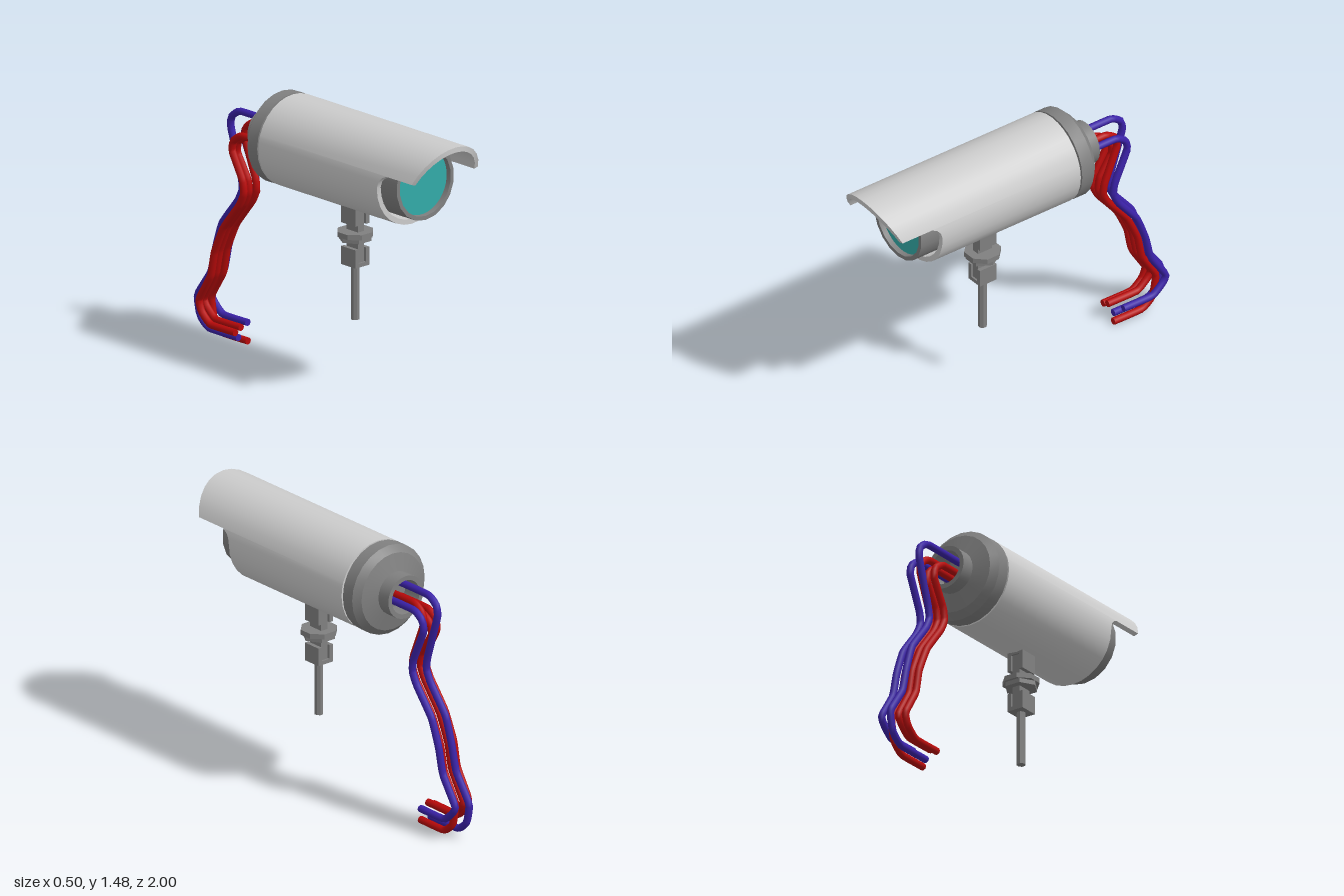
import * as THREE from 'three';
import { toCreasedNormals } from 'three/addons/utils/BufferGeometryUtils.js';

const mat = (color, flatShading = false) => new THREE.MeshStandardMaterial({ color, flatShading });
const LIGHT = mat(0xcccccc);
const DARK = mat(0x808080);
const DARK_FLAT = mat(0x808080, true);
const TEAL = mat(0x33aaa8);
const RED = mat(0xb80a0a);
const BLUE = mat(0x3b22a8);
const AXIS_Y = 1.23;

function add(parent, name, geometry, material, x = 0, y = 0, z = 0) {
  const mesh = new THREE.Mesh(geometry, material);
  mesh.name = name;
  mesh.position.set(x, y, z);
  parent.add(mesh);
  return mesh;
}

// Turned part along z from [radius, z] points
function turned(points, segments) {
  const geo = new THREE.LatheGeometry(points.map(p => new THREE.Vector2(...p)), segments);
  return toCreasedNormals(geo.rotateX(Math.PI / 2), 0.5);
}

// Hollow tube whose front edge steps back below the hood
function shellGeometry() {
  const R = 0.25, r = 0.222, back = -0.25, lip = 1.266;
  const half = [];
  for (let i = 0; i <= 6; i++) {
    const a = lip * i / 6;
    half.push([a, 0.915 + (R * Math.cos(a) - 0.075) / 0.175 * 0.085]);
  }
  half.push([lip, 0.72], [1.33, 0.69], [1.42, 0.67], [Math.PI / 2, 0.66]);
  for (let i = 1; i <= 7; i++) half.push([Math.PI / 2 * (1 + i / 7), 0.66]);
  const columns = half.concat(half.slice(1, -1).reverse().map(([a, z]) => [-a, z]));

  const pos = [], index = [], n = columns.length;
  columns.forEach(([a, front], c) => {
    const s = Math.sin(a), k = Math.cos(a);
    for (const [rad, z] of [[R, front], [R, back], [r, back], [r, front]]) pos.push(rad * s, rad * k, z);
    for (let j = 0; j < 4; j++) {
      const a0 = c * 4 + j, a1 = c * 4 + (j + 1) % 4;
      const b0 = ((c + 1) % n) * 4 + j, b1 = ((c + 1) % n) * 4 + (j + 1) % 4;
      index.push(a0, b0, a1, b0, b1, a1);
    }
  });
  const geo = new THREE.BufferGeometry();
  geo.setAttribute('position', new THREE.Float32BufferAttribute(pos, 3));
  geo.setIndex(index);
  return toCreasedNormals(geo, 0.6);
}

// Cable: leaves the neck at exitY, sags down and turns forward at endY
function cableGeometry(x, exitY, endY, d, endZ) {
  const path = [
    [-0.36, exitY], [-0.58 - d, exitY], [-0.645 - d, exitY - 0.04], [-0.655 - d, exitY - 0.1],
    [-0.575 - d, 0.94], [-0.565 - d, 0.87], [-0.6 - d, 0.8], [-0.72 - d, 0.65],
    [-0.79 - d * 0.7, 0.5], [-0.82 - d * 0.8, 0.36], [-0.91 - d, 0.21],
    [-0.89 - d, endY + 0.055], [-0.82 - d, endY], [endZ, endY],
  ].map(([z, y]) => new THREE.Vector3(x, y, z));
  const curve = new THREE.CatmullRomCurve3(path, false, 'catmullrom', 0.2);
  return new THREE.TubeGeometry(curve, 70, 0.02, 8);
}

export function createModel() {
  const model = new THREE.Group();
  model.name = 'securityCamera';

  // Housing
  const body = new THREE.Group();
  body.name = 'housing';
  body.position.y = AXIS_Y;
  model.add(body);
  add(body, 'hoodedShell', shellGeometry(), LIGHT);
  add(body, 'barrel', turned([[0, -0.245], [0.23, -0.245], [0.23, -0.22], [0.205, -0.22],
    [0.205, 0.765], [0.183, 0.765], [0.183, 0.72], [0, 0.72]], 18), DARK);
  add(body, 'lens', new THREE.CircleGeometry(0.183, 18), TEAL, 0, 0, 0.735);
  add(body, 'rearCap', turned([[0, -0.36], [0.095, -0.36], [0.095, -0.475], [0.12, -0.475],
    [0.12, -0.395], [0.215, -0.37], [0.25, -0.335], [0.25, -0.26], [0, -0.26]], 24), DARK);

  // Mounting bracket: two forks, tongues, collar and rod
  const mount = new THREE.Group();
  mount.name = 'mount';
  mount.position.set(0.01, 0, 0.215);
  model.add(mount);
  const box = (name, w, h, d, x, y) => add(mount, name, new THREE.BoxGeometry(w, h, d), DARK_FLAT, x, y, 0);
  for (const s of [-1, 1]) {
    box('upperForkProng', 0.023, 0.11, 0.11, s * 0.038, 0.935);
    box('lowerForkProng', 0.023, 0.1, 0.11, s * 0.038, 0.7);
  }
  box('upperForkBase', 0.099, 0.025, 0.11, 0, 0.982);
  box('lowerForkBase', 0.099, 0.022, 0.11, 0, 0.661);
  box('upperTongue', 0.044, 0.14, 0.09, 0, 0.9);
  box('lowerTongue', 0.044, 0.13, 0.09, 0, 0.735);
  const disc = (name, radius, h, y, sides) =>
    add(mount, name, new THREE.CylinderGeometry(radius, radius, h, sides).rotateY(Math.PI / sides), DARK_FLAT, 0, y, 0);
  disc('collar', 0.1, 0.028, 0.826, 8);
  disc('collarNut', 0.09, 0.024, 0.8, 6);
  disc('rod', 0.024, 0.31, 0.505, 8);

  // Cables: x, exit height, end height, backward offset, end z
  const cables = new THREE.Group();
  cables.name = 'cables';
  model.add(cables);
  const ends = (geo, mesh, x, y, z) =>
    add(cables, mesh + 'End', new THREE.CircleGeometry(0.02, 8), geo, x, y, z);
  for (const [name, material, x, exitY, endY, d, endZ] of [
    ['redCable', RED, -0.06, 1.185, 0.09, 0, -0.63],
    ['redCable', RED, -0.02, 1.17, 0.11, 0.005, -0.63],
    ['redCable', RED, 0.03, 1.24, 0.025, 0, -0.63],
    ['blueCable', BLUE, -0.01, 1.295, 0.045, 0.065, -0.66],
    ['blueCable', BLUE, 0.065, 1.22, 0.11, 0.04, -0.67],
  ]) {
    add(cables, name, cableGeometry(x, exitY, endY, d, endZ), material);
    ends(material, name, x, endY, endZ);
  }
  return model;
}
